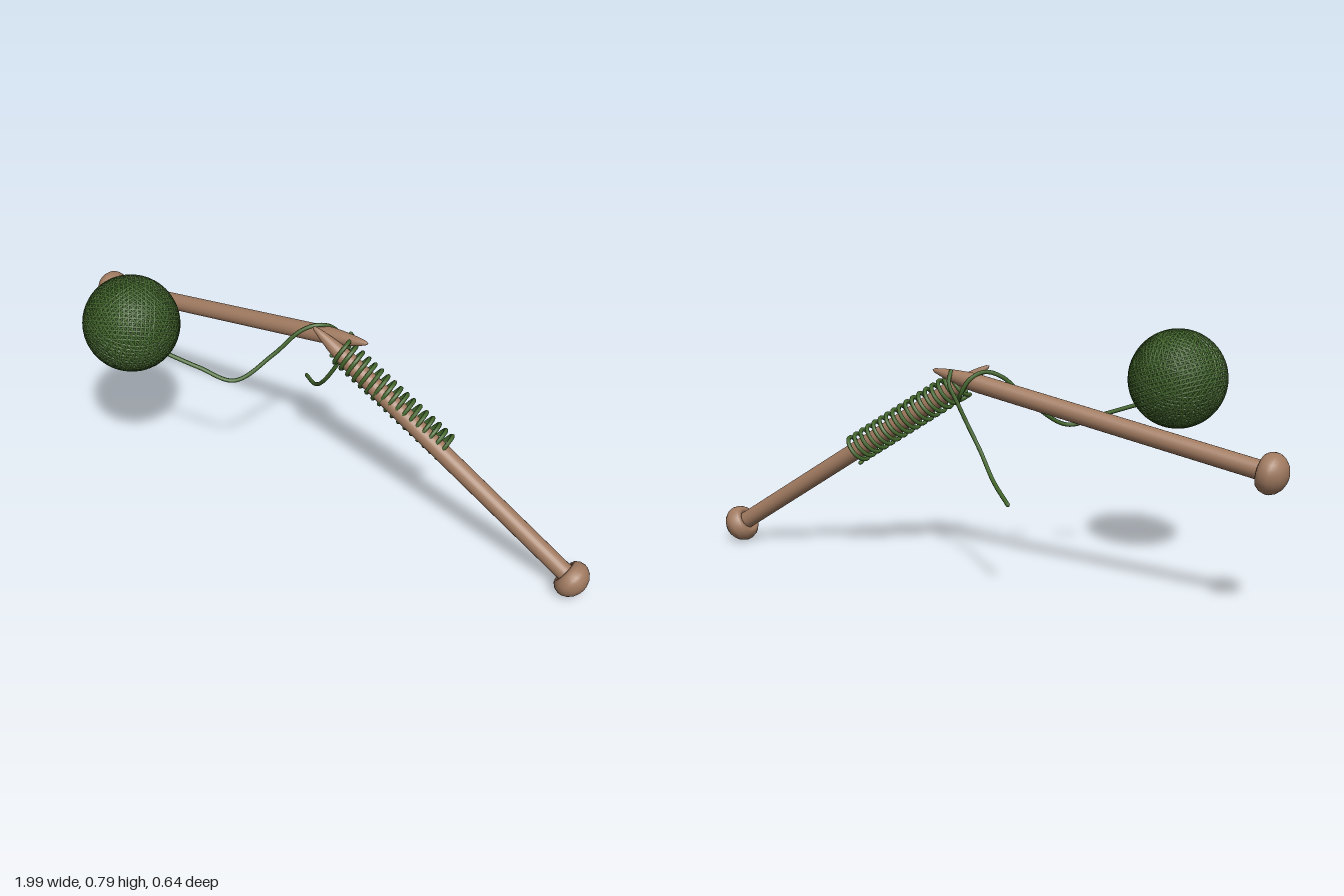
import * as THREE from 'three';

const V = (x, y, z) => new THREE.Vector3(x, y, z);
const YARN_R = 0.0068;

const wood = new THREE.MeshStandardMaterial({ color: 0xa07a60 });
wood.name = 'wood';
const green = new THREE.MeshStandardMaterial({ color: 0x42652b });
green.name = 'greenYarn';

function mesh(name, geometry, material) {
  const m = new THREE.Mesh(geometry, material);
  m.name = name;
  return m;
}

// Needle turned around its axis: knob at `knob`, point at `tip`
function needle(name, knob, tip) {
  const dir = tip.clone().sub(knob);
  const len = dir.length();
  const group = new THREE.Group();
  group.name = name;

  const shaft = [
    [0.029, 0], [0.029, len - 0.17], [0.0275, len - 0.14], [0.022, len - 0.09],
    [0.014, len - 0.04], [0.007, len - 0.01], [0, len],
  ].map(([r, y]) => new THREE.Vector2(r, y));
  group.add(mesh(name + 'Shaft', new THREE.LatheGeometry(shaft, 24), wood));

  // Flattened knob with a dished collar on the shaft side
  const profile = [
    [0, -0.044], [0.02, -0.042], [0.038, -0.034], [0.053, -0.02], [0.061, -0.004],
    [0.062, 0.008], [0.058, 0.024], [0.049, 0.036], [0.04, 0.04], [0.031, 0.036], [0.028, 0.03],
  ].map(([r, y]) => new THREE.Vector2(r, y));
  group.add(mesh(name + 'Knob', new THREE.LatheGeometry(profile, 32), wood));

  group.position.copy(knob);
  group.quaternion.setFromUnitVectors(V(0, 1, 0), dir.normalize());
  return group;
}

// Strand of yarn through a list of points, with rounded ends
function strand(name, points, segments) {
  const group = new THREE.Group();
  group.name = name;
  const curve = new THREE.CatmullRomCurve3(points);
  group.add(mesh(name + 'Tube', new THREE.TubeGeometry(curve, segments, YARN_R, 8), green));
  for (const p of [points[0], points[points.length - 1]]) {
    const cap = mesh(name + 'End', new THREE.SphereGeometry(YARN_R, 8, 6), green);
    cap.position.copy(p);
    group.add(cap);
  }
  return group;
}

// Ball: a core with bands of half-sunken windings in scattered directions
function yarnBall(center, radius) {
  const group = new THREE.Group();
  group.name = 'yarnBall';
  group.add(mesh('ballCore', new THREE.SphereGeometry(radius - 0.003, 48, 32), green));
  const bands = 9, perBand = 9;
  for (let b = 0; b < bands; b++) {
    // evenly scattered band axes on a hemisphere
    const up = (b + 0.5) / bands;
    const flat = Math.sqrt(1 - up * up);
    const axis = V(flat * Math.cos(b * 2.4), up, flat * Math.sin(b * 2.4));
    for (let i = 0; i < perBand; i++) {
      const offset = (i - (perBand - 1) / 2) * 0.0135;
      const rr = radius - 0.0045 + (b % 3) * 0.0004;
      const ring = mesh('winding',
        new THREE.TorusGeometry(Math.sqrt(rr * rr - offset * offset), 0.0045, 6, 64), green);
      ring.quaternion.setFromUnitVectors(V(0, 0, 1), axis);
      ring.position.copy(axis).multiplyScalar(offset);
      group.add(ring);
    }
  }
  group.position.copy(center);
  return group;
}

export function createModel() {
  const model = new THREE.Group();
  model.name = 'knittingSet';

  const knobR = V(-0.955, 0.46, -0.215), tipR = V(0.17, 0.668, -0.122);
  const knobL = V(0.945, 0.065, -0.105), tipL = V(-0.015, 0.688, -0.088);
  model.add(needle('rightNeedle', knobR, tipR));
  model.add(needle('leftNeedle', knobL, tipL));
  model.add(yarnBall(V(-0.553, 0.647, 0.159), 0.157));

  // Cast-on stitches: a helix round the left needle, drifting slightly back
  const along = knobL.clone().sub(tipL).normalize();
  const across = V(0, 0, 1);
  const upward = across.clone().cross(along).normalize();
  const loops = 17, steps = 16;
  const coil = [];
  for (let i = 0; i <= loops * steps; i++) {
    const t = i / (loops * steps);
    const a = (i / steps) * Math.PI * 2 + Math.PI;
    coil.push(tipL.clone()
      .addScaledVector(along, 0.105 + 0.47 * t)
      .addScaledVector(upward, 0.045 * Math.cos(a))
      .addScaledVector(across, 0.04 * Math.sin(a) - 0.01 - 0.016 * t));
  }
  model.add(strand('stitches', coil, loops * 28));

  // Yarn running from the ball over the crossing to the first stitch
  model.add(strand('workingYarn', [
    V(-0.45, 0.565, 0.142), V(-0.33, 0.525, 0.105), V(-0.22, 0.489, 0.062),
    V(-0.13, 0.57, -0.03), V(-0.06, 0.655, -0.09), V(-0.015, 0.673, -0.125),
    V(0.02, 0.65, -0.165), V(0.045, 0.605, -0.172), V(0.065, 0.58, -0.14), coil[0],
  ], 90));

  // Loose tail hanging behind
  model.add(strand('yarnTail', [
    V(0.095, 0.67, -0.14), V(0.09, 0.635, -0.165), V(0.06, 0.575, -0.165),
    V(0.03, 0.51, -0.158), V(-0.02, 0.43, -0.168), V(-0.09, 0.355, -0.225),
    V(-0.18, 0.308, -0.312),
  ], 60));

  return model;
}
